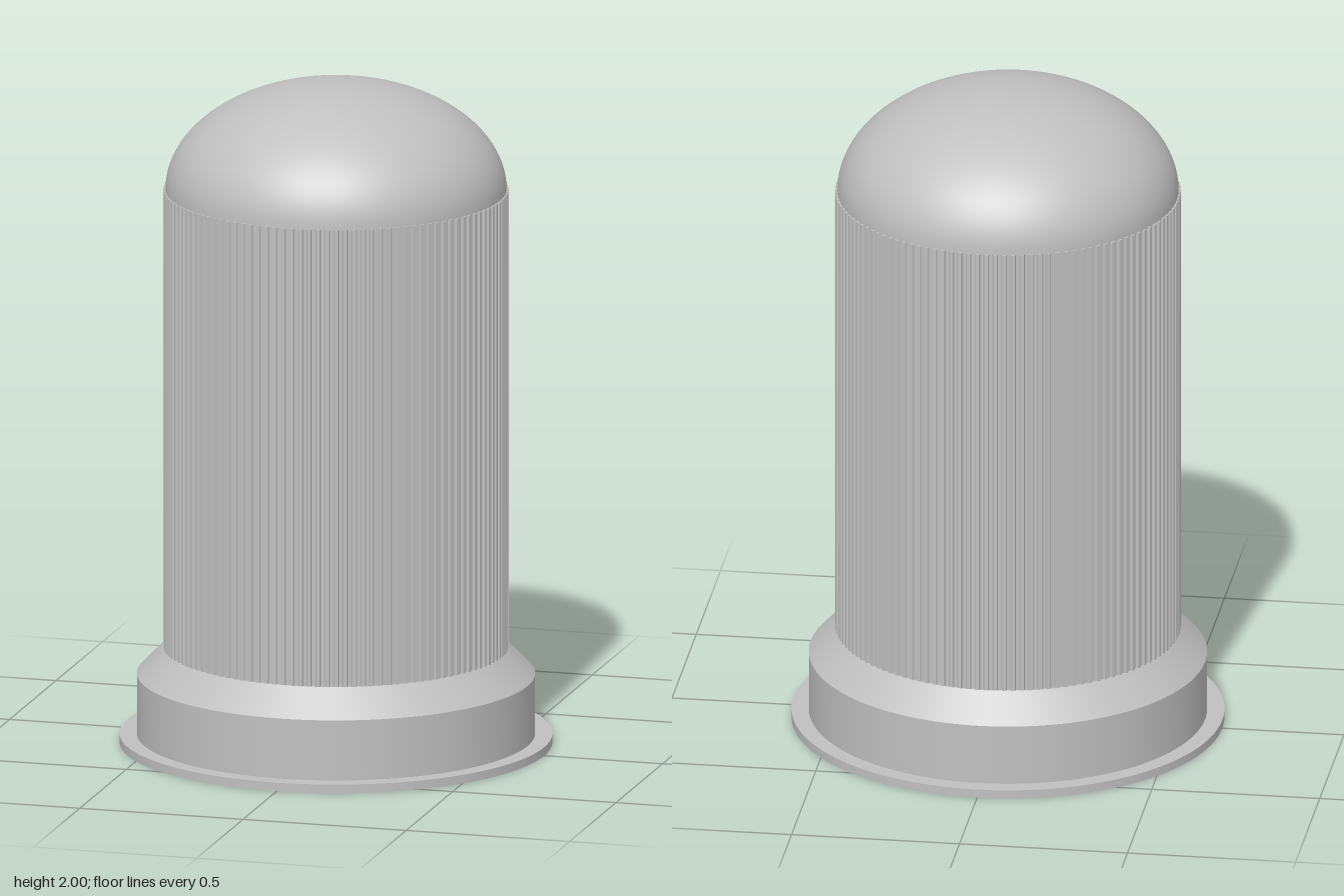
import * as THREE from 'three';
import { toCreasedNormals } from 'three/addons/utils/BufferGeometryUtils.js';

const SEGMENTS = 120;
const RIBS = 120;

export function createModel() {
  const group = new THREE.Group();
  group.name = 'ribbedCap';

  const grey = new THREE.MeshStandardMaterial({ color: 0xc0c0c0 });
  grey.name = 'plain grey';

  const add = (name, geometry) => {
    const mesh = new THREE.Mesh(geometry, grey);
    mesh.name = name;
    group.add(mesh);
  };

  // Revolved part; profile runs upward on outer faces, downward on inner ones
  const revolve = (name, profile) => {
    const points = profile.map(([r, y]) => new THREE.Vector2(r, y));
    add(name, toCreasedNormals(new THREE.LatheGeometry(points, SEGMENTS), 0.5));
  };

  // Quarter ellipse from its rim up to the axis
  const domeProfile = (radius, base, height, steps = 28) =>
    Array.from({ length: steps + 1 }, (_, i) => {
      const a = (i / steps) * Math.PI / 2;
      return [i === steps ? 0 : radius * Math.cos(a), base + height * Math.sin(a)];
    });

  // Flat flange around the open bottom
  revolve('flange', [[0.56, 0], [0.638, 0], [0.638, 0.026], [0.585, 0.026]]);

  // Straight collar with a sloping shoulder
  revolve('collar', [[0.587, 0.026], [0.587, 0.208], [0.508, 0.29], [0.495, 0.29]]);

  // Sleeve with fine square ribs
  const outline = new THREE.Shape();
  const pitch = (Math.PI * 2) / RIBS;
  for (let i = 0; i < RIBS; i++) {
    [[0, 0.502], [0.12, 0.509], [0.5, 0.509], [0.62, 0.502]].forEach(([t, r], k) => {
      const a = (i + t) * pitch;
      const x = r * Math.cos(a), y = r * Math.sin(a);
      if (i === 0 && k === 0) outline.moveTo(x, y);
      else outline.lineTo(x, y);
    });
  }
  outline.closePath();
  outline.holes.push(new THREE.Path().absarc(0, 0, 0.49, 0, Math.PI * 2, true));
  const sleeve = new THREE.ExtrudeGeometry(outline, {
    depth: 1.385, bevelEnabled: false, curveSegments: 48,
  });
  sleeve.rotateX(-Math.PI / 2).translate(0, 0.29, 0);
  add('ribbedSleeve', sleeve);

  // Smooth domed top
  revolve('dome', domeProfile(0.503, 1.675, 0.325));

  // Hollow inside, from the crown down to the opening
  revolve('innerWall', [
    ...domeProfile(0.48, 1.675, 0.3).reverse(),
    [0.48, 0.277], [0.56, 0.195], [0.56, 0],
  ]);

  return group;
}
